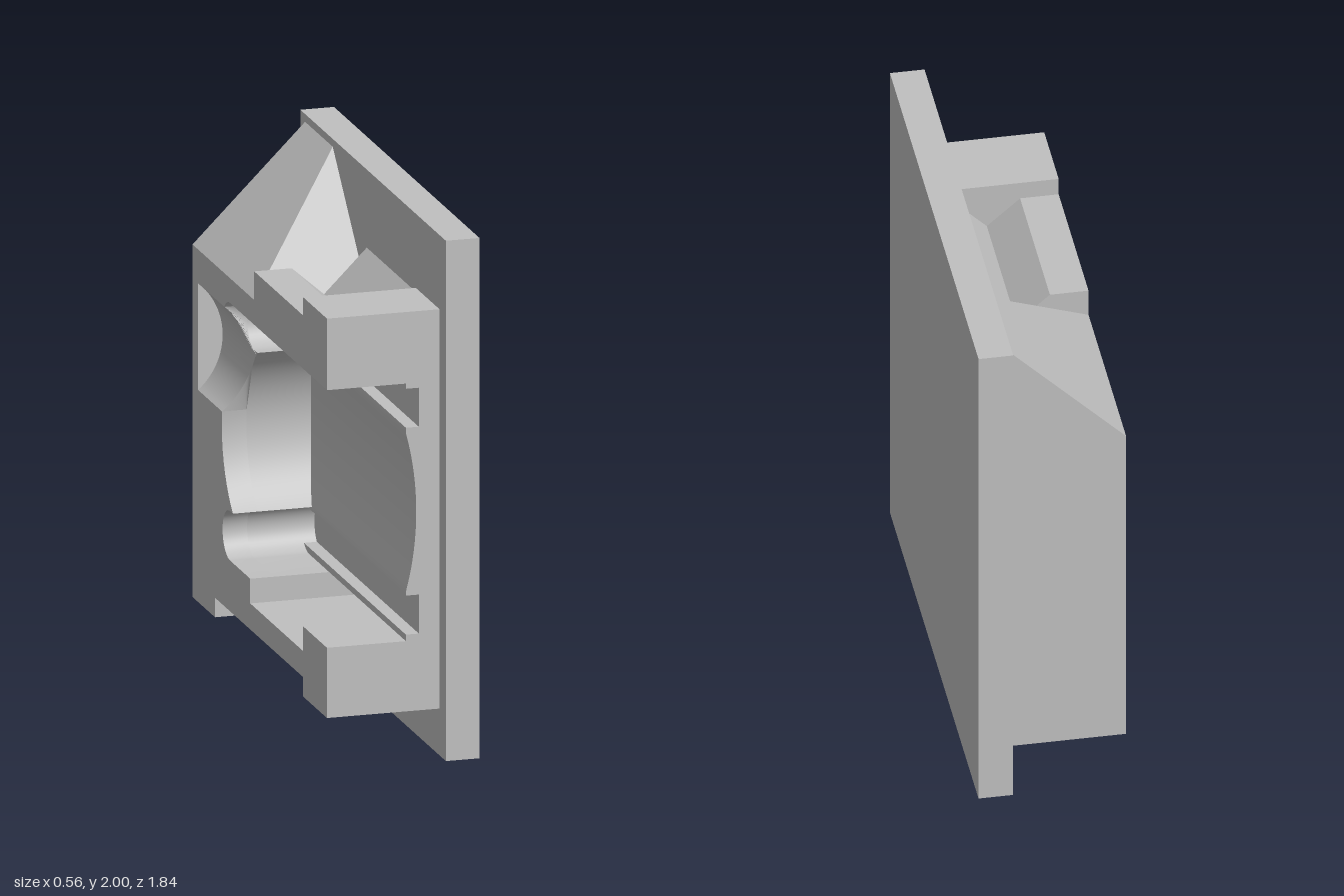
import * as THREE from 'three';
import { toCreasedNormals } from 'three/addons/utils/BufferGeometryUtils.js';
import { ConvexGeometry } from 'three/addons/geometries/ConvexGeometry.js';

const X0 = -0.285, X1 = 0.15;        // open face and plate face of the housing
const GROOVE = { x: -0.46, y: 1.2, r: 0.27, depthX: -0.19, low: 0.995, high: 1.405, endZ: -0.79 };

// Pocket wall: small lobe, large shallow arc, small lobe (z as a function of y)
const arcs = [
  { y: 0.545, z: -0.385, r: 0.095, half: 0.095 },
  { y: 0.945, z: -0.09, r: 0.4, half: 0.305 },
  { y: 1.345, z: -0.385, r: 0.095, half: 0.095 },
];
const arcZ = (a, y) => a.z - Math.sqrt(Math.max(0, a.r * a.r - (y - a.y) ** 2));
const pocketZ = (y) => arcZ(arcs[y < 0.64 ? 0 : y < 1.25 ? 1 : 2], y);

function pocketWall() {
  const pts = [];
  for (const a of arcs) {
    for (let i = 0; i <= 20; i++) {
      const y = a.y - a.half * Math.cos((i / 20) * Math.PI);
      pts.push([arcZ(a, y), y]);
    }
  }
  return pts;
}

const toShape = (pts) => new THREE.Shape(pts.map(([a, b]) => new THREE.Vector2(a, b)));

// Outline in (z, y), extruded between two x values
function extrudeX(pts, xa, xb) {
  const g = new THREE.ExtrudeGeometry(toShape(pts), { depth: xb - xa, bevelEnabled: false });
  return g.rotateY(-Math.PI / 2).translate(xb, 0, 0);
}

// Outline in (x, y), extruded between two z values
function extrudeZ(pts, za, zb) {
  const g = new THREE.ExtrudeGeometry(toShape(pts), { depth: zb - za, bevelEnabled: false });
  return g.translate(0, 0, za);
}

// C-shaped housing outline, open towards +z
function housingOutline(wall) {
  return [
    [-0.86, 0.18], [-0.575, 0.18], [-0.575, 0.255], [0.54, 0.255], [0.54, 0.18], [0.84, 0.18],
    [0.84, 0.45], [0.54, 0.45], [0.54, 0.355], [-0.13, 0.355], [-0.13, 0.45],
    ...wall,
    [0.84, 1.44], [0.84, 1.715], [0.54, 1.715], [0.54, 1.535], [-0.86, 1.535],
  ];
}

// Solid left between the round groove and its bounding box, ending on the pocket wall
function grooveFiller(yEdge) {
  const curve = [], inner = [];
  for (let i = 0; i <= 16; i++) {
    const y = yEdge + (GROOVE.y - yEdge) * (i / 16);
    const x = GROOVE.x + Math.sqrt(GROOVE.r ** 2 - (y - GROOVE.y) ** 2);
    curve.push([i === 0 ? X0 : Math.min(x, GROOVE.depthX), y]);
    if (i < 16) inner.unshift([GROOVE.depthX, y]);
  }
  const g = extrudeZ([...curve, ...inner], GROOVE.endZ, 0);
  const p = g.attributes.position;
  for (let i = 0; i < p.count; i++) {
    if (p.getZ(i) > -0.01) p.setZ(i, pocketZ(p.getY(i)));
  }
  g.computeVertexNormals();
  return g;
}

export function createModel() {
  const group = new THREE.Group();
  const grey = new THREE.MeshStandardMaterial({ color: 0xc0c0c0 });
  grey.name = 'grey';

  const add = (name, geometry) => {
    const mesh = new THREE.Mesh(toCreasedNormals(geometry, 0.5), grey);
    mesh.name = name;
    group.add(mesh);
  };

  // Square backing plate
  add('plate', new THREE.BoxGeometry(0.13, 2, 1.84).translate(0.215, 1, 0));

  // Housing, with the outer layer interrupted by the groove
  const wall = pocketWall();
  add('housing', extrudeX(housingOutline(wall), GROOVE.depthX, X1));
  const cutWall = [
    ...wall.filter(([, y]) => y < GROOVE.low),
    [pocketZ(GROOVE.low), GROOVE.low], [GROOVE.endZ, GROOVE.low],
    [GROOVE.endZ, GROOVE.high], [pocketZ(GROOVE.high), GROOVE.high],
    ...wall.filter(([, y]) => y > GROOVE.high),
  ];
  add('housingFace', extrudeX(housingOutline(cutWall), X0, GROOVE.depthX));
  add('grooveLowerSide', grooveFiller(GROOVE.low));
  add('grooveUpperSide', grooveFiller(GROOVE.high));

  // Sloped cap with a hipped end
  add('slopedCap', new ConvexGeometry([
    [X1, 1.97, -0.86], [X1, 1.97, -0.51], [X0, 1.535, -0.86],
    [X0, 1.535, -0.08], [X1, 1.535, -0.86], [X1, 1.535, -0.08],
  ].map((v) => new THREE.Vector3(...v))));

  // V-shaped channel along the top edge
  add('channelOuterRail', extrudeZ(
    [[X0, 1.535], [-0.015, 1.535], [-0.14, 1.645], [X0, 1.645]], -0.08, 0.54));
  add('channelInnerSlope', extrudeZ([[-0.015, 1.535], [X1, 1.535], [X1, 1.7]], -0.08, 0.54));

  // Pocket floor with two slots and a shallow round dish
  const floor = [[X1, 1.44], [0.02, 1.44], [0.02, 1.42], [0.07, 1.42], [0.07, 1.27], [0.02, 1.27]];
  const r = (0.305 ** 2 + 0.04 ** 2) / 0.08;
  for (let i = 0; i <= 20; i++) {
    const dy = 0.305 * (1 - i / 10);
    floor.push([0.06 - r + Math.sqrt(r * r - dy * dy), 0.945 + dy]);
  }
  floor.push([0.02, 0.625], [0.07, 0.625], [0.07, 0.475], [0.02, 0.475], [0.02, 0.45], [X1, 0.45]);
  add('pocketFloor', extrudeZ(floor, -0.5, 0.84));

  return group;
}
